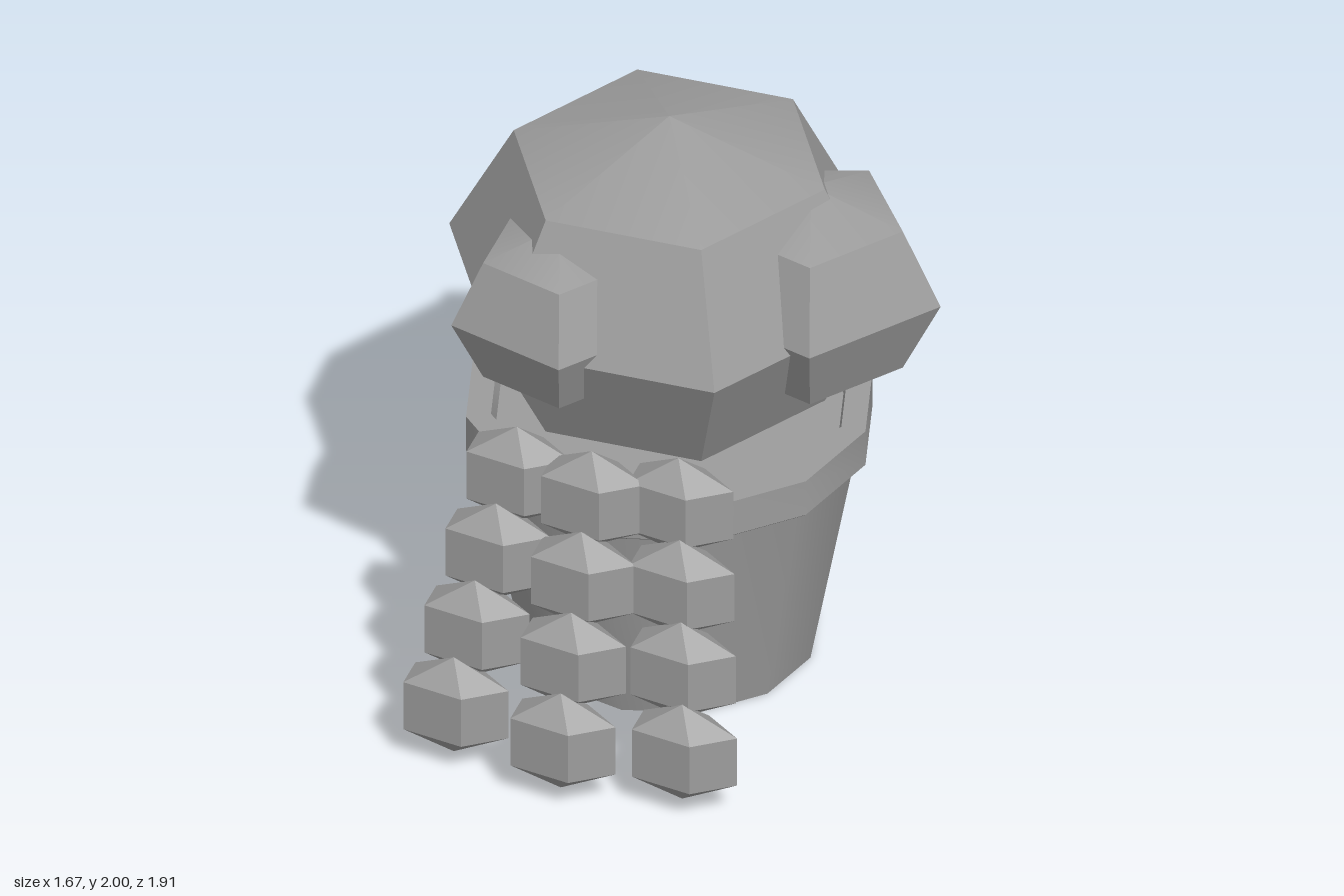
import * as THREE from 'three';
import { toCreasedNormals } from 'three/addons/utils/BufferGeometryUtils.js';

const CREASE = 0.55;
const CENTER_X = -0.085;
const CENTER_Z = -0.15;

export function createModel() {
  const model = new THREE.Group();
  model.name = 'pottedBush';
  const grey = new THREE.MeshStandardMaterial({ color: 0x9c9c9c });
  grey.name = 'grey';

  function add(name, geometry, x, y, z, parent = model) {
    const mesh = new THREE.Mesh(toCreasedNormals(geometry, CREASE), grey);
    mesh.name = name;
    mesh.position.set(x, y, z);
    parent.add(mesh);
    return mesh;
  }

  // Low-poly ellipsoid with one corner pointing to +x
  const lump = (sides, rows, rx, ry, rz) =>
    new THREE.SphereGeometry(1, sides, rows).rotateY(Math.PI).scale(rx, ry, rz);

  const lathe = (points) =>
    new THREE.LatheGeometry(points.map(([r, y]) => new THREE.Vector2(r, y)), 12);

  // Tapered pot with a closed base
  add('pot', lathe([[0, 0], [0.48, 0], [0.63, 0.8]]), CENTER_X, 0, CENTER_Z);

  // Rim band with a small lip below and a hollow inside
  add('rim', lathe([
    [0.62, 0.78], [0.655, 0.78], [0.667, 0.79], [0.667, 0.92], [0.585, 0.92], [0.57, 0.84],
  ]), CENTER_X, 0, CENTER_Z);

  // Soil
  add('soil', lathe([[0.575, 0.85], [0, 0.85]]), CENTER_X, 0, CENTER_Z);

  // Main foliage mass
  add('foliage', lump(6, 4, 0.748, 0.58, 0.748), CENTER_X, 1.42, CENTER_Z);

  // Side foliage clumps: x, y, z, radius
  [
    [0.393, 1.45, -0.164, 0.44],
    [-0.32, 1.465, 0.25, 0.367],
    [-0.308, 1.38, -0.622, 0.35],
  ].forEach(([x, y, z, r], i) => {
    add('foliageClump' + (i + 1), lump(5, 4, r, r * 0.85, r), x, y, z);
  });

  // Three trailing strands of leaves: start x, start z, step x, step z
  [
    [-0.383, 0.497, -0.041, 0.09],
    [-0.11, 0.553, -0.001, 0.1],
    [0.167, 0.5, 0.037, 0.096],
  ].forEach(([x, z, dx, dz], i) => {
    const strand = new THREE.Group();
    strand.name = 'trailingStrand' + (i + 1);
    for (let k = 0; k < 4; k++) {
      add('leaf' + (k + 1), lump(5, 3, 0.2155, 0.1825, 0.118),
        x + dx * k, 0.96 - 0.25 * k, z + dz * k, strand);
    }
    model.add(strand);
  });

  return model;
}
